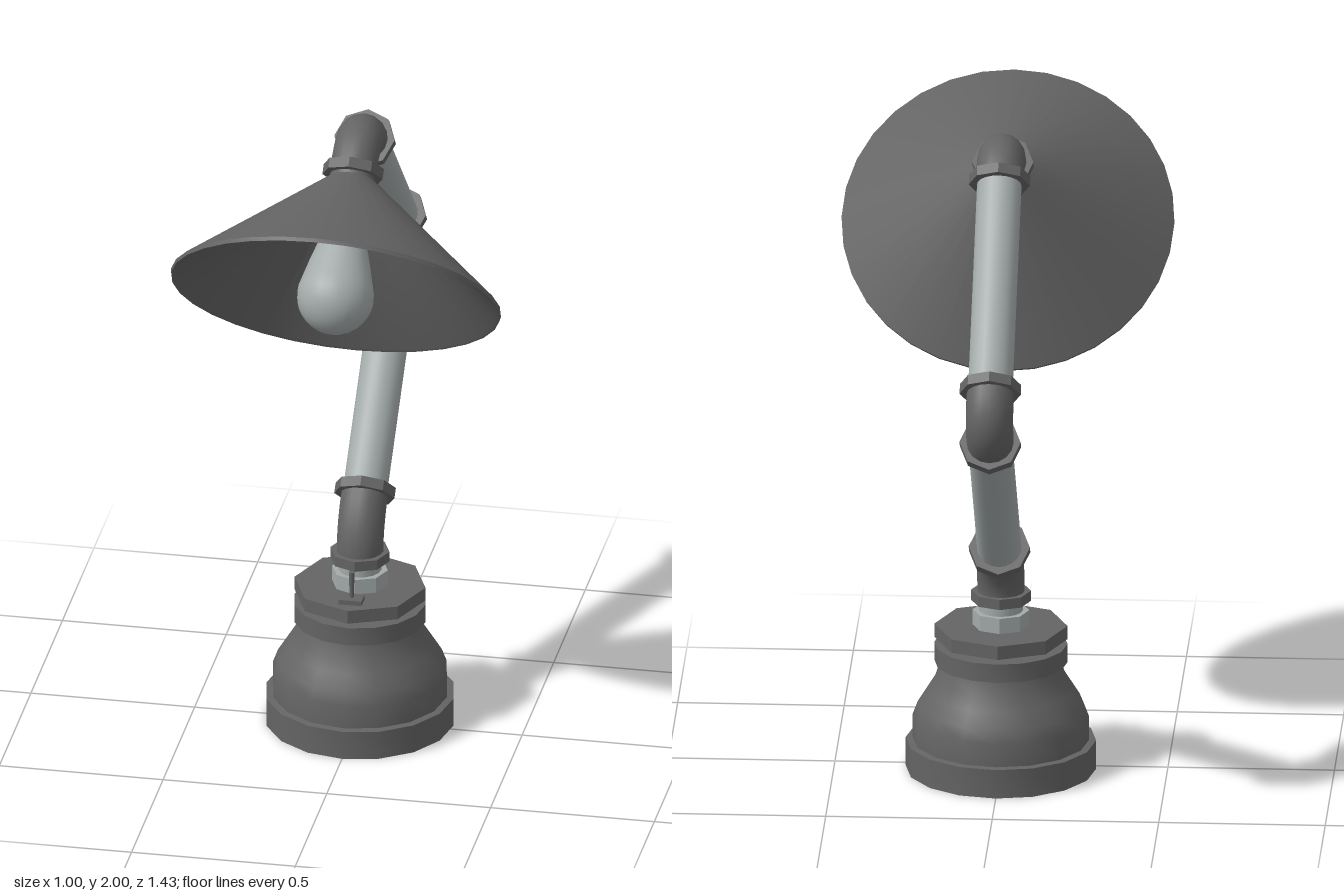
import * as THREE from 'three';
import { toCreasedNormals } from 'three/addons/utils/BufferGeometryUtils.js';

export function createModel() {
  const lamp = new THREE.Group();
  lamp.name = 'deskLamp';
  const dark = new THREE.MeshStandardMaterial({ color: 0x646464 });
  dark.name = 'dark iron';
  const light = new THREE.MeshStandardMaterial({ color: 0xa4abab });
  light.name = 'pale metal';

  const BASE_Z = -0.026;
  const P = (z, y) => new THREE.Vector3(0, y, z);

  function add(name, geometry, material, parent = lamp) {
    const mesh = new THREE.Mesh(geometry, material);
    mesh.name = name;
    parent.add(mesh);
    return mesh;
  }
  const lathe = (points, sides, crease = 0.6) => toCreasedNormals(
    new THREE.LatheGeometry(points.map(([r, y]) => new THREE.Vector2(r, y)), sides), crease);
  const drum = (r, h, sides) => toCreasedNormals(new THREE.CylinderGeometry(r, r, h, sides), 0.6);

  // Cylinder running between two points
  function rod(name, a, b, r, sides, material) {
    const dir = b.clone().sub(a);
    const mesh = add(name, drum(r, dir.length(), sides), material);
    mesh.position.copy(a).add(b).multiplyScalar(0.5);
    mesh.quaternion.setFromUnitVectors(new THREE.Vector3(0, 1, 0), dir.normalize());
  }
  // Octagonal coupling ring around a pipe
  function coupling(name, at, dz, dy) {
    const half = P(dz, dy).setLength(0.016);
    rod(name, at.clone().sub(half), at.clone().add(half), 0.092, 8, dark);
  }
  // Bent pipe fitting
  function elbow(name, a, corner, b) {
    add(name, new THREE.TubeGeometry(new THREE.QuadraticBezierCurve3(a, corner, b), 10, 0.071, 16), dark);
  }
  // Upright disc on the base axis
  function disc(name, y0, y1, r, sides, material) {
    add(name, drum(r, y1 - y0, sides), material).position.set(0, (y0 + y1) / 2, BASE_Z);
  }

  // Bell-shaped base with foot ring and collar
  add('base', lathe([
    [0, 0], [0.286, 0], [0.286, 0.09], [0.265, 0.092], [0.265, 0.165], [0.25, 0.205],
    [0.222, 0.25], [0.197, 0.29], [0.183, 0.335], [0.2, 0.337], [0.2, 0.395], [0, 0.395],
  ], 16), dark).position.z = BASE_Z;
  disc('baseNeck', 0.39, 0.415, 0.1, 16, dark);
  disc('flange', 0.41, 0.452, 0.2, 8, dark);
  disc('stemSocket', 0.45, 0.5, 0.085, 8, light);
  disc('stem', 0.5, 0.56, 0.066, 16, light);
  disc('stemNut', 0.53, 0.562, 0.09, 8, dark);

  // Toggle switch at the front of the flange
  add('switchPlate', new THREE.BoxGeometry(0.07, 0.018, 0.05), dark).position.set(0, 0.458, 0.108);
  add('switchLever', new THREE.CylinderGeometry(0.009, 0.006, 0.09, 8), dark).position.set(0, 0.505, 0.106);

  // Pipe arm
  const lowA = P(-0.106, 0.72), lowB = P(-0.603, 1.228);
  const highA = P(-0.6, 1.402), highB = P(-0.106, 1.893);
  const head = P(0.082, 1.878);
  elbow('baseElbow', P(BASE_Z, 0.55), P(BASE_Z, 0.64), lowA);
  rod('lowerArm', lowA, lowB, 0.067, 20, light);
  elbow('middleElbow', lowB, P(-0.69, 1.315), highA);
  rod('upperArm', highA, highB, 0.067, 20, light);
  elbow('topElbow', highB, P(-0.0195, 1.9795), head);
  coupling('lowerArmStartRing', lowA, -1, 1);
  coupling('lowerArmEndRing', lowB, -1, 1);
  coupling('upperArmStartRing', highA, 1, 1);
  coupling('upperArmEndRing', highB, 1, 1);
  coupling('shadeRing', head, 1, -1);

  // Lamp head: local y runs from the rim centre back along the shade axis
  const lampHead = new THREE.Group();
  lampHead.name = 'lampHead';
  lampHead.position.set(0, 1.597, 0.363);
  lampHead.rotation.x = -Math.PI / 4;
  lamp.add(lampHead);
  add('shade', lathe([
    [0, 0.362], [0.06, 0.36], [0.488, 0.004], [0.498, 0], [0.5, 0.012], [0.068, 0.372], [0.068, 0.4],
  ], 32), dark, lampHead);
  add('bulbSocket', drum(0.064, 0.1, 8), dark, lampHead).position.y = 0.315;

  // Pear-shaped bulb
  const bulb = [];
  for (let i = 0; i <= 10; i++) {
    const a = -Math.PI / 2 + (i / 10) * (Math.PI / 2 + 0.35);
    bulb.push([Math.max(0, 0.116 * Math.cos(a)), 0.116 * Math.sin(a)]);
  }
  bulb.push([0.093, 0.1], [0.075, 0.16], [0.058, 0.22], [0.05, 0.27]);
  add('bulb', lathe(bulb, 24, 1), light, lampHead);

  return lamp;
}
